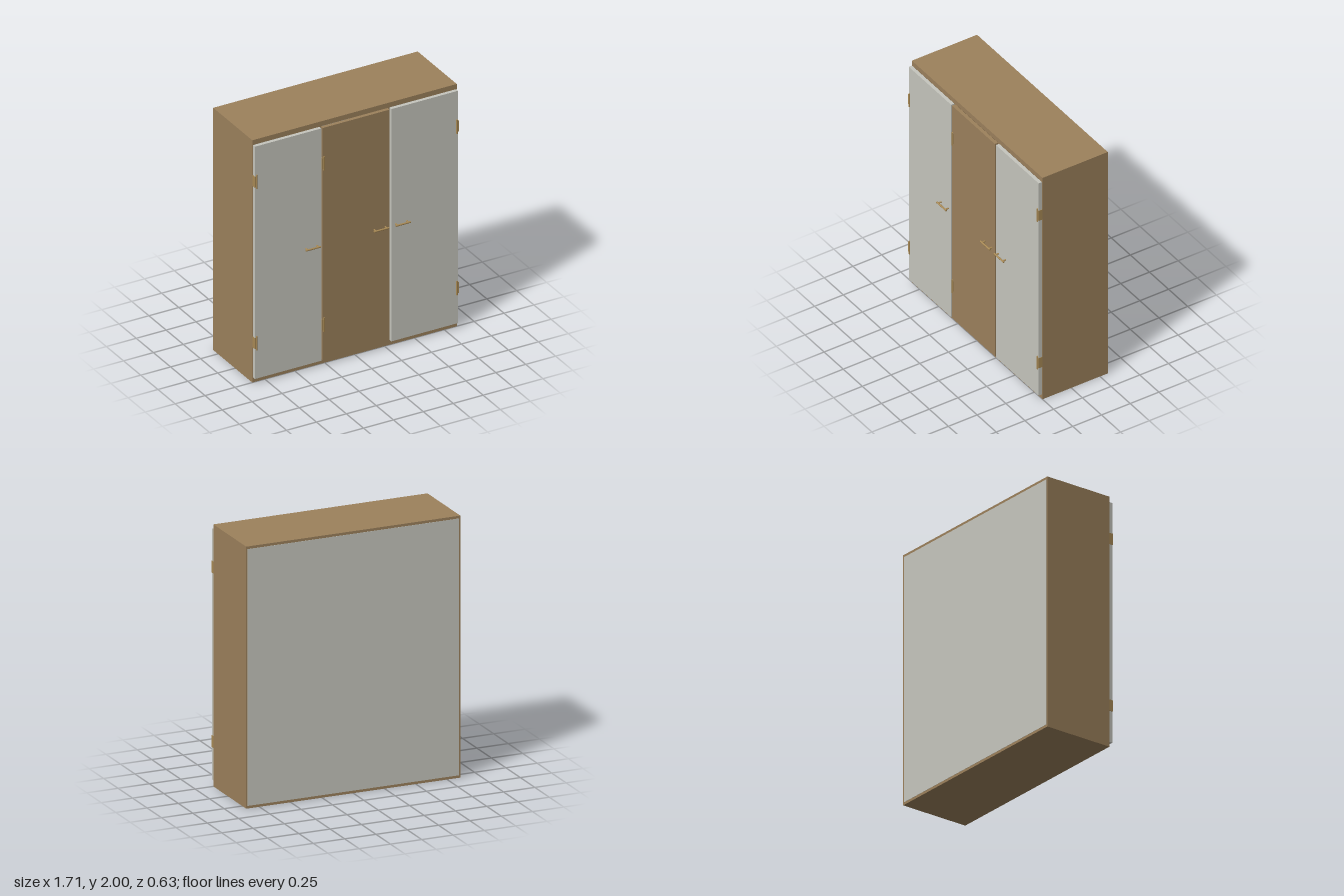
import * as THREE from 'three';

export function createModel() {
  const model = new THREE.Group();
  const material = (name, color) => {
    const m = new THREE.MeshStandardMaterial({ color });
    m.name = name;
    return m;
  };
  const wood = material('wood', 0x9c815c);
  const grey = material('pale grey', 0xc6c6be);
  const brass = material('brass', 0xa98a55);

  // Box given by its minimum and maximum on each axis
  const box = (parent, name, mat, [x0, x1], [y0, y1], [z0, z1]) => {
    const mesh = new THREE.Mesh(new THREE.BoxGeometry(x1 - x0, y1 - y0, z1 - z0), mat);
    mesh.position.set((x0 + x1) / 2, (y0 + y1) / 2, (z0 + z1) / 2);
    mesh.name = name;
    parent.add(mesh);
  };
  const rod = (parent, name, mat, radius, length, x, y, z, axis) => {
    const geometry = new THREE.CylinderGeometry(radius, radius, length, 12);
    if (axis === 'x') geometry.rotateZ(Math.PI / 2);
    if (axis === 'z') geometry.rotateX(Math.PI / 2);
    const mesh = new THREE.Mesh(geometry, mat);
    mesh.position.set(x, y, z);
    mesh.name = name;
    parent.add(mesh);
  };

  // Carcass: open box with two dividers and a back panel
  const carcass = new THREE.Group();
  carcass.name = 'carcass';
  model.add(carcass);
  const depth = [-0.318, 0.25];
  box(carcass, 'topPanel', wood, [-0.855, 0.855], [1.96, 2], depth);
  box(carcass, 'bottomPanel', wood, [-0.855, 0.855], [0, 0.04], depth);
  for (const s of [-1, 1]) {
    const outer = s * 0.845, inner = s * 0.285;
    box(carcass, 'sidePanel', wood, [outer - 0.01, outer + 0.01], [0.04, 1.96], depth);
    box(carcass, 'divider', wood, [inner - 0.01, inner + 0.01], [0.04, 1.96], [-0.3, 0.25]);
  }
  box(carcass, 'backPanel', grey, [-0.843, 0.843], [0.02, 1.98], [-0.32, -0.305]);

  // Doors: span, colour, handle centre, hinge edge and the side the leaf turns to
  const doors = [
    { name: 'rightDoor', span: [-0.85, -0.295], mat: grey, handle: -0.378, hinge: -0.85, turn: 1 },
    { name: 'middleDoor', span: [-0.283, 0.276], mat: wood, handle: 0.193, hinge: -0.286, turn: 1 },
    { name: 'leftDoor', span: [0.29, 0.85], mat: grey, handle: 0.373, hinge: 0.85, turn: -1 },
  ];
  for (const { name, span, mat, handle, hinge, turn } of doors) {
    const door = new THREE.Group();
    door.name = name;
    model.add(door);
    box(door, 'doorPanel', mat, span, [0.042, 1.96], [0.252, 0.28]);

    // Bar handle on two posts
    rod(door, 'handleBar', brass, 0.007, 0.124, handle, 1.003, 0.308, 'x');
    for (const s of [-1, 1]) {
      rod(door, 'handlePost', brass, 0.006, 0.03, handle + s * 0.046, 1.003, 0.292, 'z');
    }

    // Hinges: edge leaf, face leaf and knuckle
    for (const y of [0.336, 1.668]) {
      const edge = [hinge - 0.003, hinge + 0.003];
      const face = [hinge, hinge + turn * 0.018].sort((a, b) => a - b);
      box(door, 'hingeEdgeLeaf', brass, edge, [y - 0.045, y + 0.045], [0.245, 0.283]);
      box(door, 'hingeFaceLeaf', brass, face, [y - 0.045, y + 0.045], [0.279, 0.283]);
      rod(door, 'hingeKnuckle', brass, 0.006, 0.115, hinge + turn * 0.012, y, 0.283, 'y');
    }
  }
  return model;
}
